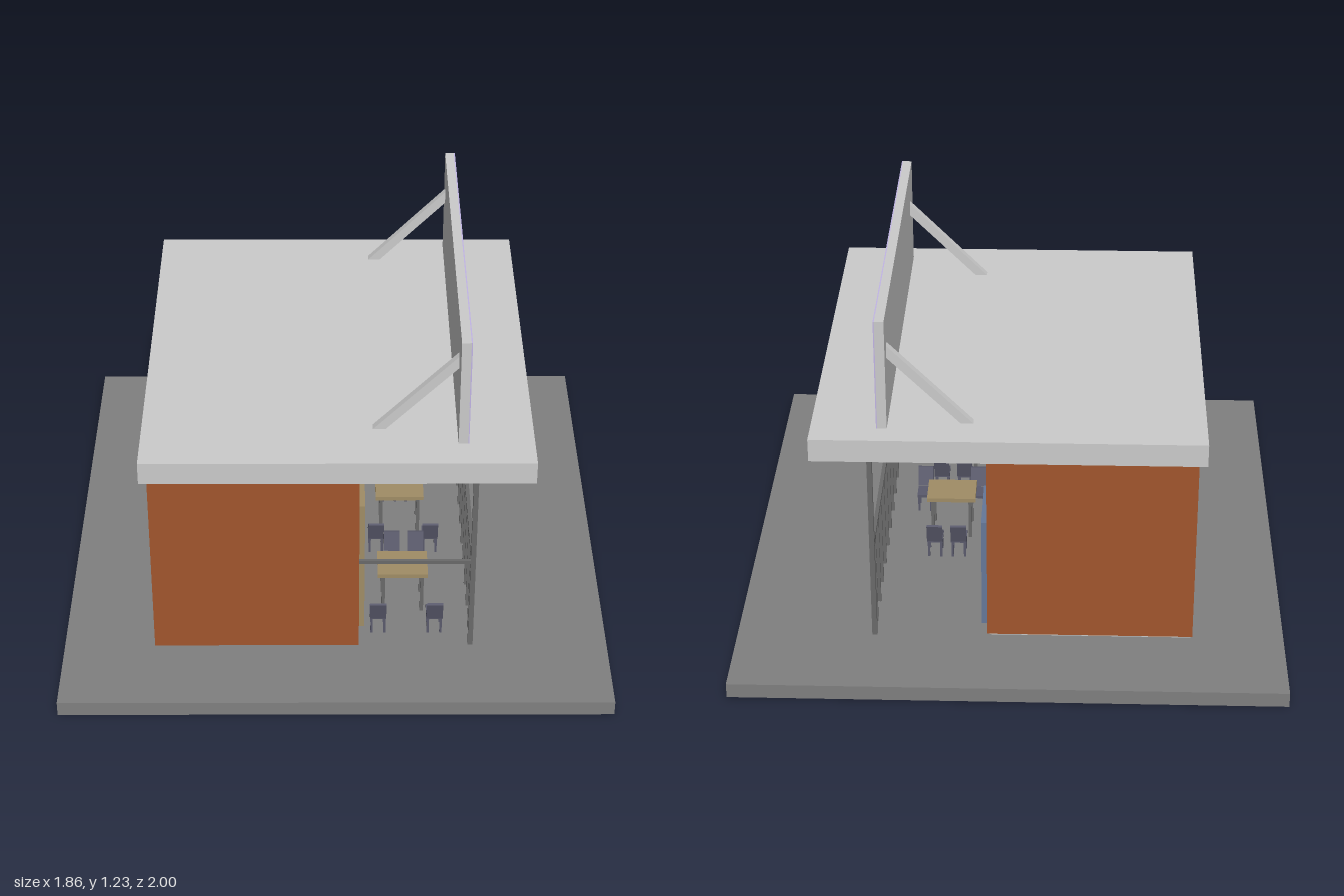
import * as THREE from 'three';

const mat = (color) => new THREE.MeshStandardMaterial({ color });
const M = {
  grey: mat(0xcccccc), slab: mat(0x808080), brick: mat(0xa2562d), glass: mat(0xb2cfe6),
  sign: mat(0xc2b5e6), metal: mat(0x6a6a6a), wood: mat(0xa08d66), chair: mat(0x5a5a6c),
  door: mat(0x7c7c8e), doorFrame: mat(0x65789a),
};

// Box given by its extents on each axis
function box(parent, name, [x0, x1], [y0, y1], [z0, z1], material) {
  const mesh = new THREE.Mesh(new THREE.BoxGeometry(x1 - x0, y1 - y0, z1 - z0), material);
  mesh.position.set((x0 + x1) / 2, (y0 + y1) / 2, (z0 + z1) / 2);
  mesh.name = name;
  parent.add(mesh);
  return mesh;
}

function group(parent, name) {
  const g = new THREE.Group();
  g.name = name;
  parent.add(g);
  return g;
}

// Chair facing +z, standing on y = 0
function chair(parent, x, z, facing) {
  const c = group(parent, 'chair');
  const w = 0.028;
  box(c, 'chairSeat', [-w, w], [0.06, 0.07], [-0.032, 0.038], M.chair);
  for (const sx of [-1, 1]) for (const sz of [-0.026, 0.03])
    box(c, 'chairLeg', [sx * 0.022 - 0.004, sx * 0.022 + 0.004], [0, 0.062], [sz - 0.004, sz + 0.004], M.chair);
  const back = box(c, 'chairBack', [-w, w], [0.07, 0.142], [-0.049, -0.039], M.chair);
  back.rotation.x = -0.24;
  c.position.set(x, 0.053, z);
  c.rotation.y = facing > 0 ? 0 : Math.PI;
}

// Table with four legs and chairs on both sides
function tableSet(parent, z) {
  const set = group(parent, 'diningSet');
  box(set, 'tableTop', [0.145, 0.32], [0.203, 0.218], [z - 0.067, z + 0.067], M.wood);
  for (const x of [0.165, 0.3]) for (const s of [-1, 1])
    box(set, 'tableLeg', [x - 0.006, x + 0.006], [0.05, 0.204], [z + s * 0.053 - 0.006, z + s * 0.053 + 0.006], M.metal);
  for (const x of [0.145, 0.34]) chair(set, x, z + 0.15, -1);
  for (const x of [0.2, 0.285]) chair(set, x, z - 0.165, 1);
}

// Upright frame on the wall: two jambs and a header
function wallFrame(parent, name, x, y, z, t, material) {
  box(parent, name, x, y, [z[0], z[0] + t], material);
  box(parent, name, x, y, [z[1] - t, z[1]], material);
  box(parent, name, x, [y[1] - t, y[1]], z, material);
}

export function createModel() {
  const root = new THREE.Group();
  root.name = 'cafe';

  // Ground, building and roof
  box(root, 'groundSlab', [-0.93, 0.93], [0, 0.052], [-1, 1], M.slab);
  box(root, 'floorPlate', [-0.615, 0.07], [0.052, 0.062], [-0.685, 0.7], M.grey);
  box(root, 'walls', [-0.62, 0.078], [0.06, 0.756], [-0.693, 0.71], M.brick);
  box(root, 'roof', [-0.645, 0.655], [0.756, 0.836], [-0.737, 0.733], M.grey);

  // Window with two panes
  const win = group(root, 'window');
  wallFrame(win, 'windowFrame', [0.07, 0.098], [0.055, 0.567], [-0.122, 0.598], 0.008, M.wood);
  box(win, 'windowSill', [0.07, 0.098], [0.053, 0.063], [-0.122, 0.598], M.wood);
  box(win, 'windowMullion', [0.07, 0.098], [0.06, 0.56], [0.23, 0.246], M.wood);
  box(win, 'windowGlass', [0.075, 0.088], [0.06, 0.562], [-0.118, 0.594], M.glass);

  // Door
  const door = group(root, 'door');
  wallFrame(door, 'doorFrame', [0.06, 0.1], [0.052, 0.456], [-0.617, -0.373], 0.014, M.doorFrame);
  box(door, 'doorTransom', [0.06, 0.096], [0.428, 0.438], [-0.61, -0.38], M.doorFrame);
  box(door, 'doorPanel', [0.06, 0.09], [0.052, 0.448], [-0.61, -0.38], M.door);

  // Terrace posts and railing
  const rail = group(root, 'terraceRailing');
  for (const z of [-0.69, 0.69])
    box(rail, 'roofPost', [0.453, 0.47], [0.05, 0.758], [z - 0.0085, z + 0.0085], M.metal);
  box(rail, 'frontRail', [0.455, 0.468], [0.399, 0.411], [-0.69, 0.69], M.metal);
  box(rail, 'sideRail', [0.075, 0.46], [0.399, 0.411], [0.684, 0.696], M.metal);
  for (let i = 0; i < 11; i++) {
    const z = 0.6 - i * 0.121;
    box(rail, 'baluster', [0.456, 0.467], [0.05, 0.4], [z - 0.0055, z + 0.0055], M.metal);
  }

  tableSet(root, 0.453);
  tableSet(root, -0.005);

  // Rooftop sign board with coloured face and two slanted struts
  const sign = group(root, 'roofSign');
  box(sign, 'signBoard', [0.402, 0.434], [0.846, 1.234], [-0.672, 0.634], M.grey);
  box(sign, 'signFace', [0.433, 0.437], [0.846, 1.234], [-0.672, 0.634], M.sign);
  const side = new THREE.Shape([[0.12, 0.834], [0.162, 0.834], [0.405, 1.078], [0.405, 1.122]]
    .map(([x, y]) => new THREE.Vector2(x, y)));
  for (const z of [-0.6, 0.52]) {
    const strut = new THREE.Mesh(new THREE.ExtrudeGeometry(side, { depth: 0.028, bevelEnabled: false }), M.grey);
    strut.position.z = z - 0.014;
    strut.name = 'signStrut';
    sign.add(strut);
  }
  return root;
}
